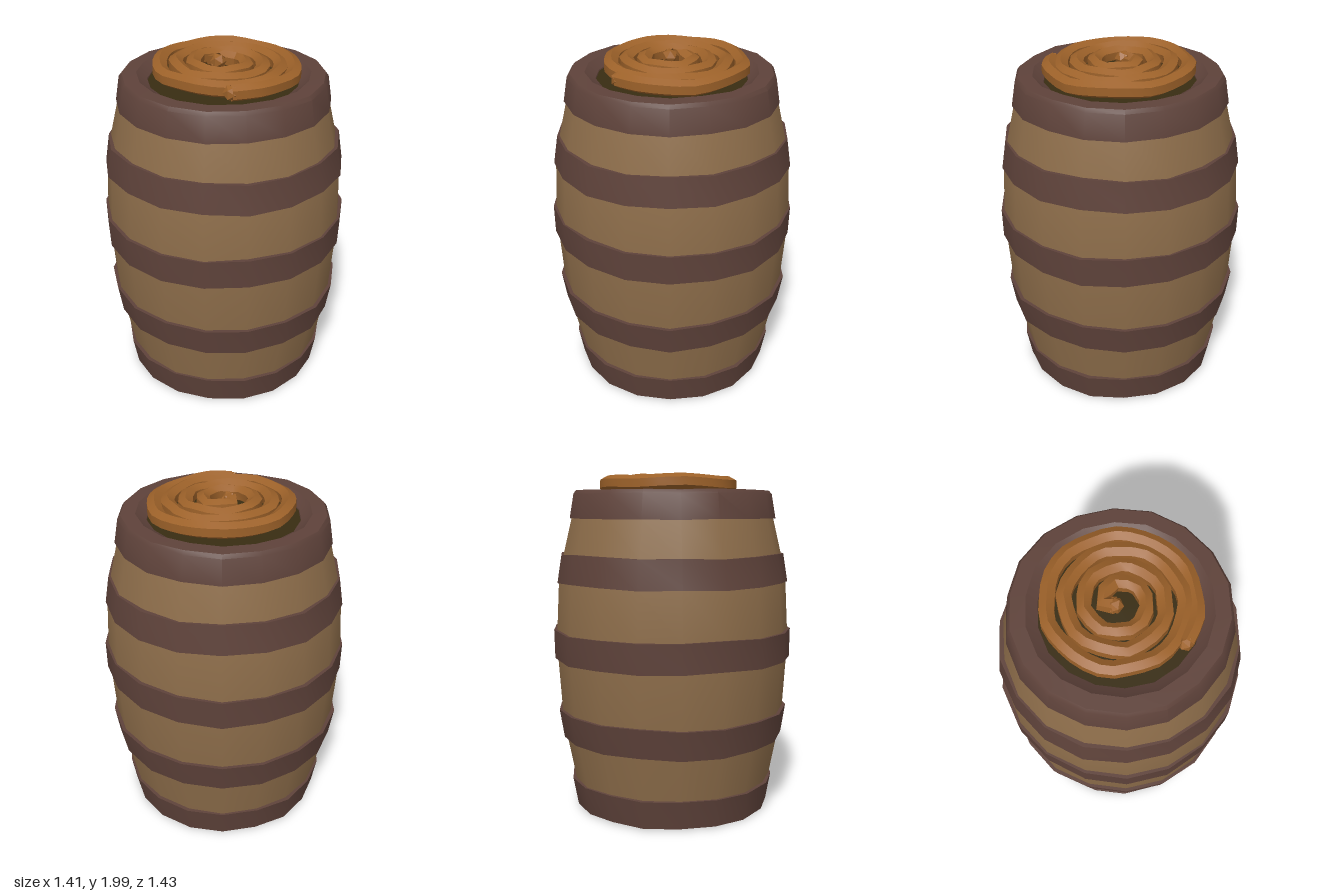
import * as THREE from 'three';
import { toCreasedNormals } from 'three/addons/utils/BufferGeometryUtils.js';

const SIDES = 18;

function material(name, color, side = THREE.FrontSide) {
  const m = new THREE.MeshStandardMaterial({ color, side });
  m.name = name;
  return m;
}

// Hand-carved irregularity: depends on angle and height only, so the seam stays closed
function roughen(geometry, radial, vertical, seed) {
  const p = geometry.attributes.position;
  for (let i = 0; i < p.count; i++) {
    const x = p.getX(i), y = p.getY(i), z = p.getZ(i);
    const a = Math.atan2(x, z);
    const k = 1 + radial * (Math.sin(5 * a + seed) + 0.6 * Math.sin(8 * a + seed * 2.3 + y * 2));
    const lift = vertical * (Math.sin(3 * a + seed * 1.7) + Math.sin(7 * a + seed));
    p.setXYZ(i, x * k, y + lift, z * k);
  }
  return geometry;
}

// Turned part from [radius, height] points, going up the outside
function turned(name, points, mat, radial = 0, vertical = 0, seed = 0) {
  const lathe = new THREE.LatheGeometry(points.map(([r, y]) => new THREE.Vector2(r, y)), SIDES);
  const mesh = new THREE.Mesh(toCreasedNormals(roughen(lathe, radial, vertical, seed), 0.6), mat);
  mesh.name = name;
  return mesh;
}

export function createModel() {
  const wood = material('wood', 0x8d6d4a);
  const hoopBrown = material('hoopBrown', 0x5e423a);
  const ropeOrange = material('ropeOrange', 0x9c6129, THREE.DoubleSide);
  const shadowWood = material('darkLid', 0x382c12);

  const barrel = new THREE.Group();
  barrel.name = 'barrel';

  // Bulging staves, with the bottom rim turned inwards
  barrel.add(turned('staves', [
    [0.5, 0.05], [0.51, 0.012], [0.572, 0.012], [0.6, 0.17], [0.65, 0.43], [0.675, 0.6],
    [0.695, 0.91], [0.697, 1.08], [0.682, 1.36], [0.652, 1.52], [0.602, 1.73], [0.56, 1.87],
  ], wood, 0.004, 0, 1));

  // Middle hoops: bottom height, top height, bottom radius, top radius
  const hoops = [
    [0.43, 0.6, 0.668, 0.695],
    [0.91, 1.08, 0.711, 0.714],
    [1.36, 1.525, 0.695, 0.668],
  ];
  hoops.forEach(([y0, y1, r0, r1], i) => {
    barrel.add(turned('middleHoop' + (i + 1),
      [[r0 - 0.05, y0], [r0, y0], [r1, y1], [r1 - 0.05, y1]], hoopBrown, 0.005, 0.004, i * 2 + 1));
  });

  // Bottom hoop
  barrel.add(turned('bottomHoop',
    [[0.555, 0.006], [0.588, 0.006], [0.618, 0.172], [0.56, 0.175]], hoopBrown, 0.006, 0.003, 4));

  // Top hoop folds over into a rounded rim around the lid
  barrel.add(turned('topHoop', [
    [0.57, 1.73], [0.612, 1.73], [0.588, 1.87], [0.572, 1.89],
    [0.49, 1.893], [0.465, 1.875], [0.43, 1.855], [0.42, 1.83],
  ], hoopBrown, 0.005, 0.002, 2));

  // Lid under the rope
  const lid = new THREE.Mesh(new THREE.CircleGeometry(0.45, SIDES).rotateX(-Math.PI / 2), shadowWood);
  lid.name = 'lid';
  lid.position.y = 1.85;
  barrel.add(lid);

  // Bottom boards, alternating colours, running front to back
  const edges = [-0.51, -0.37, -0.17, 0.08, 0.27, 0.51];
  for (let i = 0; i < edges.length - 1; i++) {
    const near = [], far = [];
    for (let j = 0; j <= 6; j++) {
      const x = THREE.MathUtils.lerp(edges[i], edges[i + 1], j / 6);
      const z = Math.sqrt(Math.max(0, 0.51 * 0.51 - x * x));
      near.push(new THREE.Vector2(x, -z));
      far.unshift(new THREE.Vector2(x, z));
    }
    const board = new THREE.Mesh(
      new THREE.ShapeGeometry(new THREE.Shape([...near, ...far])).rotateX(Math.PI / 2),
      i % 2 ? hoopBrown : wood);
    board.name = 'bottomBoard' + (i + 1);
    board.position.y = 0.04;
    barrel.add(board);
  }

  // Coiled rope: a chunky spiral, a little uneven, lifting at its inner end
  const rope = new THREE.Group();
  rope.name = 'rope';
  const turns = 3.6, coil = [];
  for (let i = 0; i <= 62; i++) {
    const t = i / 62;
    const a = t * turns * Math.PI * 2 + 0.6;
    const r = THREE.MathUtils.lerp(0.39, 0.09, Math.max(0, (t - 0.12) / 0.88)) + 0.007 * Math.sin(i * 2.4);
    const x = r * Math.sin(a), z = r * Math.cos(a);
    coil.push(new THREE.Vector3(x, 1.922 - 0.022 * x + 0.005 * Math.sin(i * 1.7) + 0.012 * t, z));
  }
  coil.push(new THREE.Vector3(-0.03, 1.952, 0.01));
  const curve = new THREE.CatmullRomCurve3(coil);
  const coilMesh = new THREE.Mesh(
    toCreasedNormals(new THREE.TubeGeometry(curve, 84, 0.046, 6), 0.7), ropeOrange);
  coilMesh.name = 'ropeCoil';
  rope.add(coilMesh);

  // Blunt rope ends
  [coil[0], coil[coil.length - 1]].forEach((p, i) => {
    const end = new THREE.Mesh(new THREE.IcosahedronGeometry(0.046, 0), ropeOrange);
    end.name = 'ropeEnd' + (i + 1);
    end.position.copy(p);
    rope.add(end);
  });
  barrel.add(rope);

  return barrel;
}
